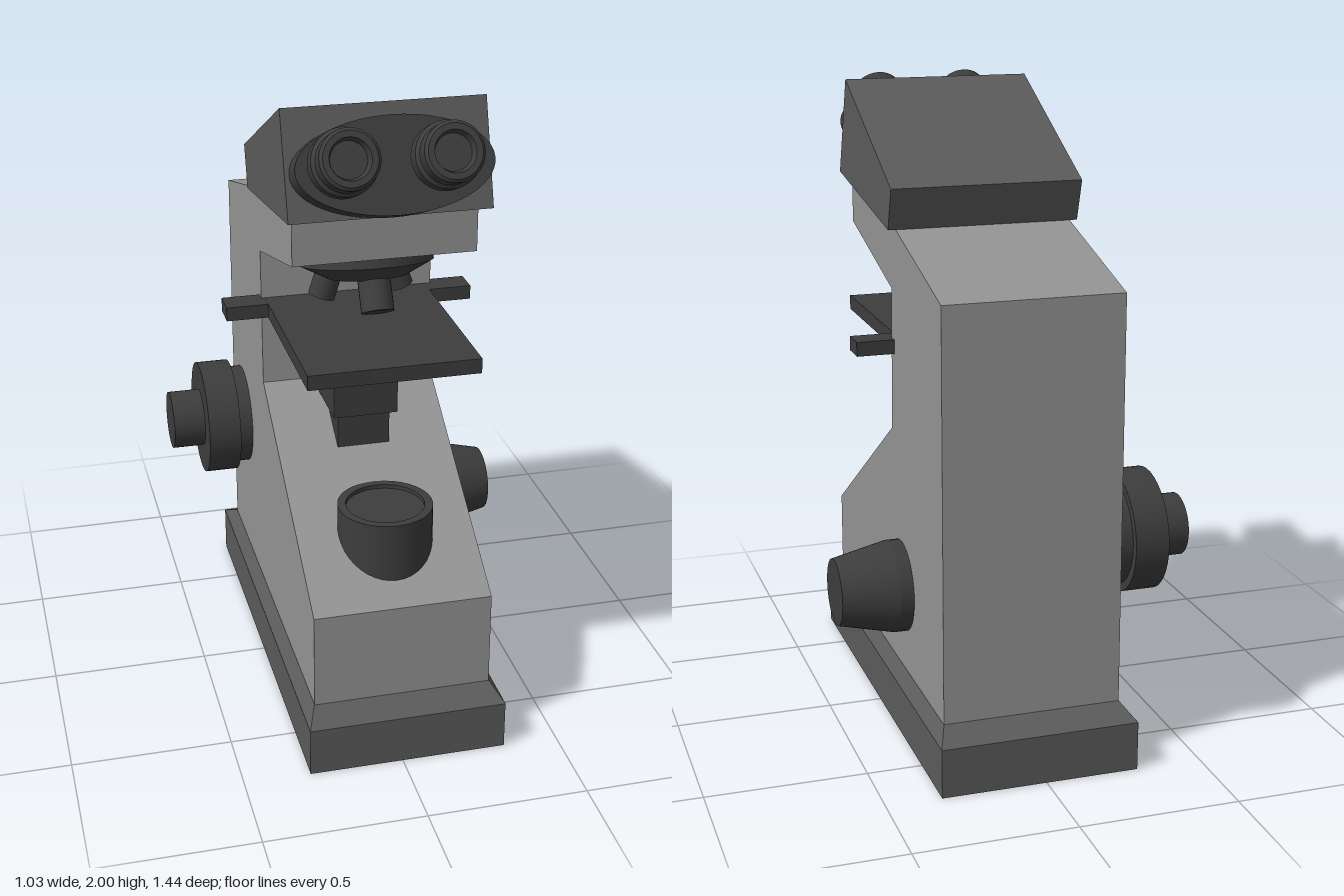
import * as THREE from 'three';

const CX = 0.018; // centre line of the body
const mat = (color) => new THREE.MeshStandardMaterial({ color, side: THREE.DoubleSide });
const light = mat(0x949494), mid = mat(0x5b5b5b), dark = mat(0x3d3d3d);

export function createModel() {
  const model = new THREE.Group();

  const add = (name, geometry, material, parent = model) => {
    const mesh = new THREE.Mesh(geometry, material);
    mesh.name = name;
    parent.add(mesh);
    return mesh;
  };
  // box given by its limits on each axis
  const box = (name, [x0, x1], [y0, y1], [z0, z1], material) =>
    add(name, new THREE.BoxGeometry(x1 - x0, y1 - y0, z1 - z0), material)
      .position.set((x0 + x1) / 2, (y0 + y1) / 2, (z0 + z1) / 2);
  // side outline of [z, y] points, extruded across x
  const slab = (name, points, x0, x1, material) => {
    const shape = new THREE.Shape(points.map(([z, y]) => new THREE.Vector2(z, y)));
    const g = new THREE.ExtrudeGeometry(shape, { depth: x1 - x0, bevelEnabled: false });
    g.rotateY(-Math.PI / 2).translate(x1, 0, 0);
    return add(name, g, material);
  };
  // turned part with sharp steps: each [radius, height] pair of neighbours is its own band
  const turned = (name, profile, material, sides = 40) => {
    const group = new THREE.Group();
    group.name = name;
    for (let i = 0; i + 1 < profile.length; i++) {
      const pair = [profile[i], profile[i + 1]].map(([r, h]) => new THREE.Vector2(r, h));
      add(name + 'Band', new THREE.LatheGeometry(pair, sides), material, group);
    }
    model.add(group);
    return group;
  };
  const Y = new THREE.Vector3(0, 1, 0);
  const aim = (object, x, y, z, dx, dy, dz) => {
    object.position.set(x, y, z);
    object.quaternion.setFromUnitVectors(Y, new THREE.Vector3(dx, dy, dz).normalize());
    return object;
  };

  // foot with a sloping shoulder
  box('base', [-0.293, 0.328], [0, 0.155], [-0.72, 0.72], mid);
  const shoulder = new THREE.BoxGeometry(0.621, 0.04, 1.44).toNonIndexed();
  const p = shoulder.attributes.position;
  for (let i = 0; i < p.count; i++) {
    if (p.getY(i) > 0) p.setXYZ(i, p.getX(i) * 0.9, p.getY(i), p.getZ(i) * 0.886);
  }
  shoulder.computeVertexNormals();
  add('baseShoulder', shoulder, mid).position.set(CX, 0.175, 0);

  // column and arm in one piece
  slab('body', [
    [0.64, 0.18], [0.64, 0.5], [-0.08, 0.96], [-0.09, 1.41], [0.39, 1.535], [0.39, 1.68],
    [-0.15, 1.6], [-0.628, 1.47], [-0.636, 0.18],
  ], -0.261, 0.297, light);

  // viewing head
  slab('head', [[0.36, 2], [-0.19, 1.73], [-0.15, 1.6], [0.46, 1.69]], -0.285, 0.321, mid);
  const plate = turned('eyepiecePlate', [[0, -0.09], [1, -0.09], [1, 0], [0, 0]], dark, 56);
  aim(plate, CX, 1.855, 0.496, 0, 0.39, 0.92).scale.set(0.29, 1, 0.141);
  for (const side of [-1, 1]) {
    const eyepiece = turned(side < 0 ? 'rightEyepiece' : 'leftEyepiece', [
      [0.09, 0], [0.09, 0.075], [0.097, 0.08], [0.097, 0.13], [0.087, 0.14], [0.087, 0.192],
      [0.078, 0.2], [0.06, 0.2], [0.053, 0.175], [0, 0.175],
    ], dark);
    aim(eyepiece, 0.005 + side * 0.148, 1.84, 0.436, 0, 0.41, 0.91);
  }

  // turret and its three objectives
  const nose = turned('nosepiece', [
    [0, -0.03], [0.205, -0.03], [0.205, 0.03], [0.12, 0.075], [0, 0.075],
  ], dark);
  aim(nose, CX, 1.475, 0.16, 0, -0.97, 0.25);
  const objectives = [
    // tip, direction, radius
    [[CX, 1.335, 0.308], [0, -0.87, 0.5], 0.05],
    [[-0.105, 1.315, 0.088], [-0.3, -0.95, 0], 0.042],
    [[0.138, 1.345, 0.13], [0.35, -0.93, 0.05], 0.038],
  ];
  for (const [tip, dir, r] of objectives) {
    const lens = turned('objective', [[r, -0.13], [r, 0], [r * 0.6, 0], [0, -0.01]], dark, 28);
    aim(lens, ...tip, ...dir);
  }

  // stage, its crossbar and the stepped bracket below
  box('stage', [-0.25, 0.277], [1.206, 1.253], [-0.075, 0.535], dark);
  box('stageCrossbar', [-0.383, 0.416], [1.207, 1.252], [-0.118, -0.03], dark);
  box('stageBracketTop', [-0.088, 0.121], [1.09, 1.21], [-0.075, 0.275], dark);
  box('stageBracketMiddle', [-0.087, 0.12], [0.93, 1.09], [-0.075, 0.175], dark);
  box('stageBracketBottom', [-0.068, 0.1], [0.815, 0.93], [-0.1, 0.15], dark);

  // lamp housing with a recessed top
  turned('lamp', [
    [0.148, 0.45], [0.148, 0.74], [0.122, 0.74], [0.122, 0.727], [0, 0.727],
  ], dark).position.set(CX, 0, 0.413);

  // stepped focus knob on the right, tapered knob on the left
  const focus = turned('focusKnob', [
    [0.165, -0.02], [0.165, 0.045], [0.19, 0.045], [0.19, 0.152], [0.097, 0.152], [0.097, 0.257], [0, 0.257],
  ], dark);
  aim(focus, -0.261, 0.68, -0.45, -1, 0, 0);
  const knob = turned('taperedKnob', [
    [0.146, -0.02], [0.146, 0.042], [0.106, 0.219], [0, 0.219],
  ], dark);
  aim(knob, 0.296, 0.468, -0.176, 1, 0, 0);

  return model;
}
